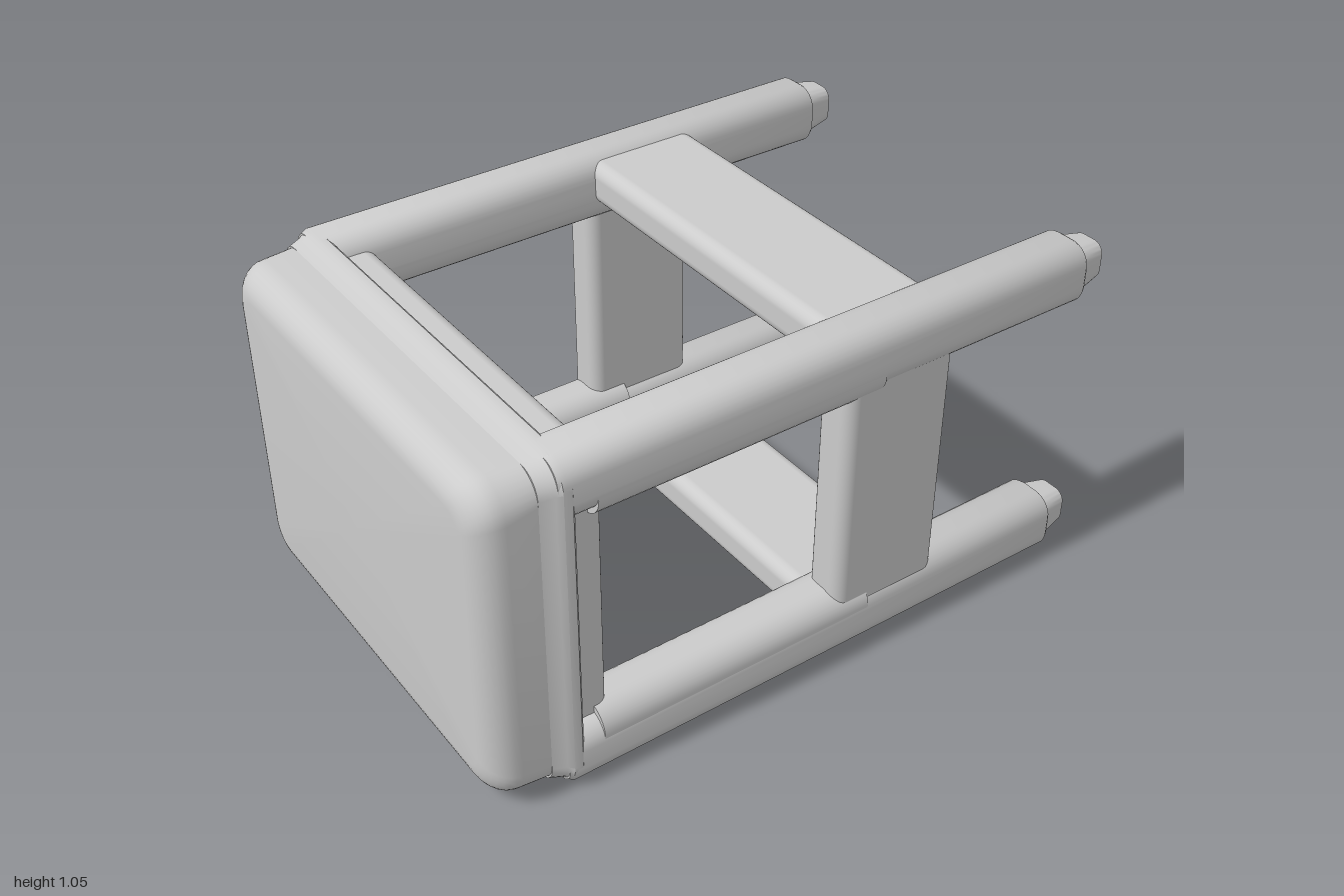
import * as THREE from 'three';
import { toCreasedNormals } from 'three/addons/utils/BufferGeometryUtils.js';
import { RoundedBoxGeometry } from 'three/addons/geometries/RoundedBoxGeometry.js';

const MID = 0.537; // height of the centre line
const material = new THREE.MeshStandardMaterial({ color: 0xcccccc });

// Rounded-rectangle outline, counter-clockwise seen from +z
function outline(cx, cy, hw, hh, r, steps = 8) {
  const pts = [];
  const corners = [[1, 1], [-1, 1], [-1, -1], [1, -1]];
  corners.forEach(([sx, sy], k) => {
    for (let i = 0; i <= steps; i++) {
      const a = (k + i / steps) * Math.PI / 2;
      pts.push([cx + sx * (hw - r) + r * Math.cos(a), cy + sy * (hh - r) + r * Math.sin(a)]);
    }
  });
  return pts;
}

// Solid lofted along +z through sections { z, x, y, hw, hh, r }
function loft(sections) {
  const pos = [], idx = [];
  const rings = sections.map(s => outline(s.x ?? 0, s.y ?? 0, s.hw, s.hh, s.r));
  const n = rings[0].length;
  rings.forEach((ring, j) => ring.forEach(p => pos.push(p[0], p[1], sections[j].z)));
  for (let j = 0; j < rings.length - 1; j++) {
    for (let i = 0; i < n; i++) {
      const a = j * n + i, b = j * n + (i + 1) % n;
      idx.push(a, b, b + n, a, b + n, a + n);
    }
  }
  const first = sections[0], last = sections[sections.length - 1];
  const c = pos.length / 3;
  pos.push(first.x ?? 0, first.y ?? 0, first.z, last.x ?? 0, last.y ?? 0, last.z);
  const top = (rings.length - 1) * n;
  for (let i = 0; i < n; i++) {
    const k = (i + 1) % n;
    idx.push(c, k, i, c + 1, top + i, top + k);
  }
  const g = new THREE.BufferGeometry();
  g.setAttribute('position', new THREE.Float32BufferAttribute(pos, 3));
  g.setIndex(idx);
  return toCreasedNormals(g, 0.65);
}

function add(parent, name, geometry, x = 0, y = 0, z = 0) {
  const mesh = new THREE.Mesh(geometry, material);
  mesh.name = name;
  mesh.position.set(x, y, z);
  parent.add(mesh);
  return mesh;
}

export function createModel() {
  const stool = new THREE.Group();
  stool.name = 'stoolOnItsSide';

  // Seat cushion with a softly rounded front edge
  const cushion = [{ z: 0.76, hw: 0.66, hh: 0.503, r: 0.07 }];
  const R = 0.085;
  for (let i = 0; i <= 8; i++) {
    const a = i / 8 * Math.PI / 2, d = R * (1 - Math.cos(a));
    cushion.push({ z: 1 - R + R * Math.sin(a), hw: 0.66 - d, hh: 0.503 - d, r: 0.1 - d * 0.5 });
  }
  add(stool, 'seatCushion', loft(cushion), 0, MID);

  // Flared rim where the cushion meets the frame
  add(stool, 'seatRim', loft([
    { z: 0.74, hw: 0.672, hh: 0.515, r: 0.08 },
    { z: 0.75, hw: 0.683, hh: 0.525, r: 0.08 },
    { z: 0.775, hw: 0.683, hh: 0.525, r: 0.08 },
    { z: 0.79, hw: 0.672, hh: 0.515, r: 0.075 },
    { z: 0.83, hw: 0.66, hh: 0.503, r: 0.07 },
  ]), 0, MID);

  // Four legs with tapered feet
  for (const sx of [-1, 1]) {
    for (const sy of [-1, 1]) {
      const leg = new THREE.Group();
      leg.name = `${sy > 0 ? 'upper' : 'lower'}${sx > 0 ? 'Left' : 'Right'}Leg`;
      leg.position.set(sx * 0.592, MID + sy * 0.433, 0);
      stool.add(leg);
      add(leg, 'legPost', loft([
        { z: -0.91, hw: 0.084, hh: 0.088, r: 0.062 },
        { z: -0.9, hw: 0.09, hh: 0.094, r: 0.066 },
        { z: 0.765, hw: 0.09, hh: 0.094, r: 0.066 },
        { z: 0.785, hw: 0.083, hh: 0.085, r: 0.062 },
      ]));
      // Slightly thicker stretch between the rails
      add(leg, 'legThickening', loft([
        { z: -0.2, y: -sy * 0.012, hw: 0.089, hh: 0.105, r: 0.07 },
        { z: 0.68, y: -sy * 0.012, hw: 0.089, hh: 0.105, r: 0.07 },
      ]));
      add(leg, 'foot', loft([
        { z: -1, hw: 0.054, hh: 0.058, r: 0.034 },
        { z: -0.94, hw: 0.067, hh: 0.068, r: 0.04 },
        { z: -0.9, hw: 0.073, hh: 0.072, r: 0.042 },
      ]));
    }
  }

  // Wide stretchers and narrow aprons on all four sides
  const rail = (w, h, d) => new RoundedBoxGeometry(w, h, d, 4, 0.04);
  for (const s of [-1, 1]) {
    const side = s > 0 ? 'left' : 'right', level = s > 0 ? 'upper' : 'lower';
    add(stool, `${level}Stretcher`, rail(1.16, 0.13, 0.365), 0, MID + s * 0.447, -0.27);
    add(stool, `${side}Stretcher`, rail(0.13, 0.86, 0.365), s * 0.605, MID, -0.27);
    add(stool, `${level}Apron`, rail(1.16, 0.11, 0.18), 0, MID + s * 0.423, 0.72);
    add(stool, `${side}Apron`, rail(0.11, 0.86, 0.18), s * 0.575, MID, 0.72);
  }
  return stool;
}
